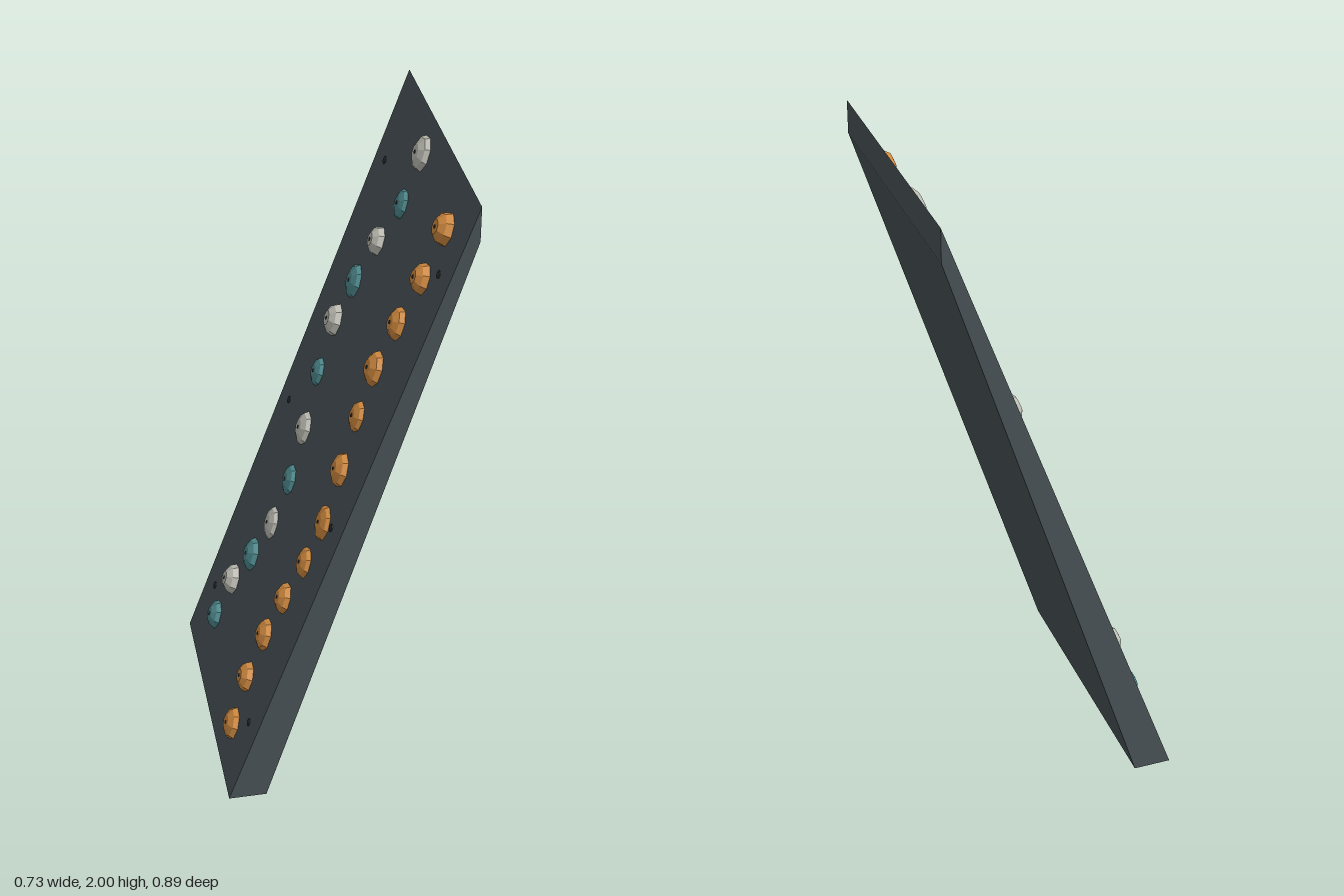
import * as THREE from 'three';

const mat = (name, color, extra = {}) => {
  const m = new THREE.MeshStandardMaterial({ color, flatShading: true, ...extra });
  m.name = name;
  return m;
};

// Leaning wall: wedge profile extruded along z, open underneath
function wallGeometry() {
  const profile = [[-0.3625, 0], [-0.245, 0], [0.3625, 1.895], [0.3625, 2]];
  const positions = [0.443, -0.443].flatMap(z => profile.flatMap(([x, y]) => [x, y, z]));
  const index = [0, 1, 2, 0, 2, 3, 4, 6, 5, 4, 7, 6];
  for (const [i, j] of [[1, 2], [2, 3], [3, 0]]) index.push(i, i + 4, j + 4, i, j + 4, j);
  const g = new THREE.BufferGeometry();
  g.setAttribute('position', new THREE.Float32BufferAttribute(positions, 3));
  g.setIndex(index);
  const flat = g.toNonIndexed();
  flat.computeVertexNormals();
  return flat;
}

// Each hold: x on the wall face, z, radius, height
const upperRow = [
  [-0.297, -0.241, 0.048, 0.023], [-0.239, -0.213, 0.050, 0.032], [-0.186, -0.143, 0.054, 0.023],
  [-0.130, -0.091, 0.053, 0.016], [-0.072, -0.089, 0.049, 0.016], [-0.016, -0.138, 0.054, 0.020],
  [0.041, -0.208, 0.046, 0.016], [0.100, -0.237, 0.052, 0.029], [0.153, -0.211, 0.054, 0.018],
  [0.212, -0.152, 0.046, 0.027], [0.266, -0.094, 0.046, 0.014], [0.324, -0.089, 0.055, 0.023],
];
const orangeRow = [
  [-0.317, 0.244, 0.053, 0.024], [-0.262, 0.208, 0.049, 0.028], [-0.204, 0.208, 0.052, 0.024],
  [-0.147, 0.239, 0.049, 0.025], [-0.091, 0.274, 0.049, 0.018], [-0.037, 0.286, 0.055, 0.016],
  [0.022, 0.256, 0.053, 0.024], [0.078, 0.215, 0.048, 0.018], [0.132, 0.201, 0.054, 0.026],
  [0.190, 0.227, 0.050, 0.025], [0.249, 0.267, 0.047, 0.030], [0.307, 0.283, 0.050, 0.034],
];

export function createModel() {
  const model = new THREE.Group();
  model.name = 'climbingWall';
  const slate = mat('slate', 0x4a5458, { side: THREE.DoubleSide });
  const orange = mat('orange', 0xd08a40);
  const teal = mat('teal', 0x4f8a8e);
  const offWhite = mat('offWhite', 0xbdbdb4);
  const dark = mat('darkMetal', 0x2b2e30);

  const wall = new THREE.Mesh(wallGeometry(), slate);
  wall.name = 'wallPanel';
  model.add(wall);

  // Frame on the climbing face: local x runs up the wall, y points out of it
  const face = new THREE.Group();
  face.name = 'climbingFace';
  face.position.x = -0.3625;
  face.rotation.z = Math.atan2(2, 0.725);
  model.add(face);
  const along = x => (x + 0.3625) / Math.cos(face.rotation.z);

  function addDisc(parent, name, radius, x, y, z) {
    const disc = new THREE.Mesh(new THREE.CylinderGeometry(radius, radius, 0.003, 10), dark);
    disc.name = name;
    disc.position.set(x, y, z);
    parent.add(disc);
  }

  // Faceted dome with a flat cap and a bolt in the middle
  function addHold([x, z, r, height], material, turn) {
    const h = height + 0.003;
    const hold = new THREE.Group();
    hold.name = 'hold';
    const profile = [[r, 0], [r * 0.86, h * 0.55], [r * 0.45, h], [0, h]]
      .map(p => new THREE.Vector2(...p));
    const body = new THREE.Mesh(new THREE.LatheGeometry(profile, 8), material);
    body.name = 'holdBody';
    body.rotation.y = turn;
    hold.add(body);
    addDisc(hold, 'holdBolt', 0.006, 0, h, 0);
    hold.position.set(along(x + 0.002), 0, z);
    face.add(hold);
  }
  upperRow.forEach((d, i) => addHold(d, i % 2 ? offWhite : teal, i * 0.7));
  orangeRow.forEach((d, i) => addHold(d, orange, i * 0.9 + 0.3));

  // Panel bolts along both edges
  for (const x of [-0.282, -0.025, 0.273])
    for (const z of [-0.353, 0.353]) addDisc(face, 'panelBolt', 0.012, along(x), 0.001, z);

  return model;
}
